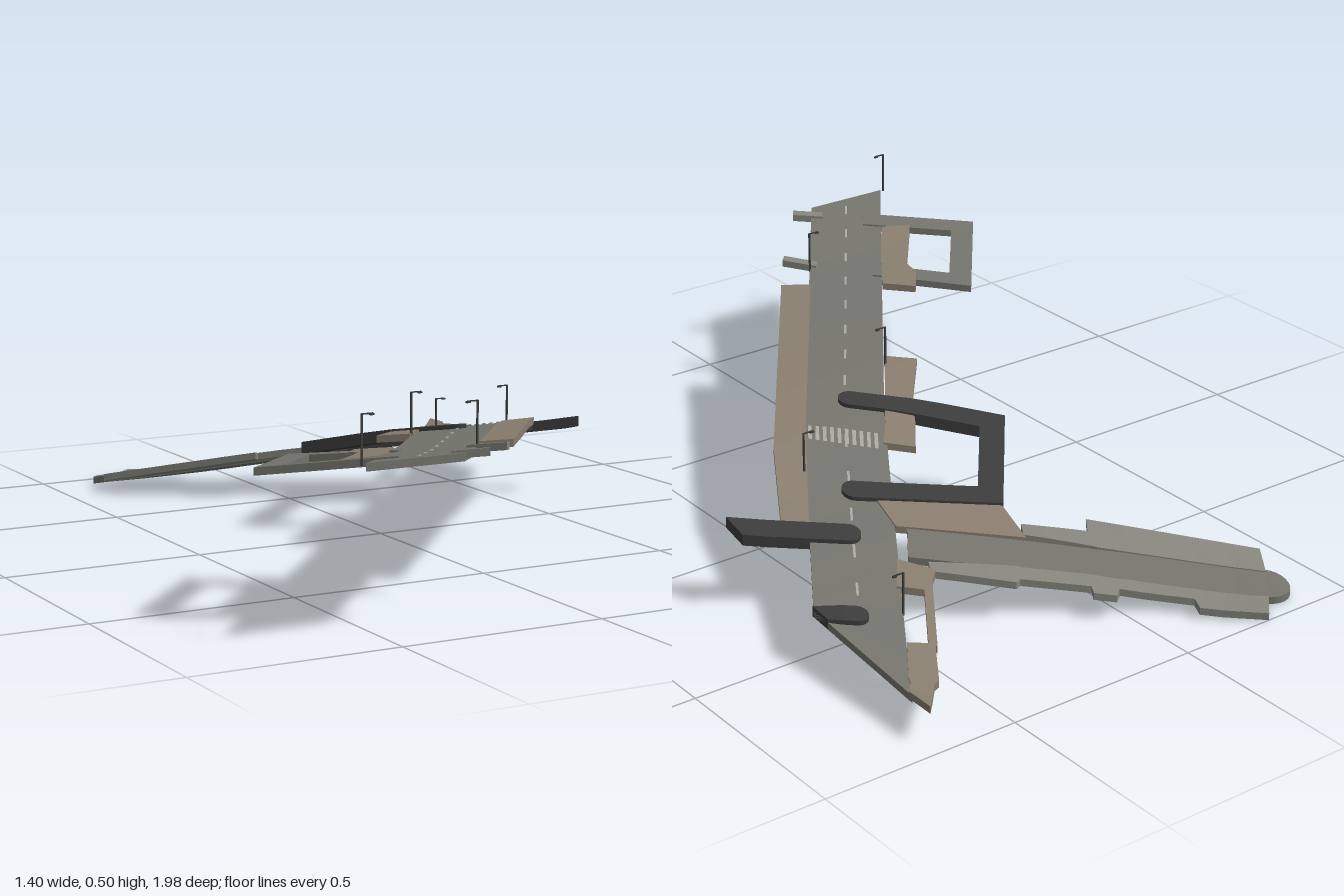
import * as THREE from 'three';

const ROAD = 0x74746d, PAVING = 0x85857d, BROWN = 0x887d6e, DARK = 0x3c3c3c, PAINT = 0xa8a8a0;

// Terrain height: falls towards the back, twisting up a little at the far right
const KNOTS = [[-1, 0.015], [-0.92, 0.022], [-0.8, 0.05], [-0.55, 0.12], [-0.4, 0.155], [-0.2, 0.198],
  [0, 0.255], [0.2, 0.287], [0.4, 0.31], [0.7, 0.35], [1, 0.402]];
function ground(x, z) {
  let i = 0;
  while (i < KNOTS.length - 2 && z > KNOTS[i + 1][0]) i++;
  const [z0, y0] = KNOTS[i], [z1, y1] = KNOTS[i + 1];
  return y0 + (y1 - y0) * (z - z0) / (z1 - z0) + 0.5 * Math.max(0, x - 0.4) * Math.max(0, -0.5 - z);
}

// Slab draped on the terrain; each station is [leftX, leftZ, rightX, rightZ]
function slab(name, color, stations, lift = 0, thick = 0.018) {
  const rows = [stations[0]];
  for (let i = 1; i < stations.length; i++) {
    const a = stations[i - 1], b = stations[i];
    const n = Math.max(1, Math.ceil(Math.hypot(b[0] - a[0], b[1] - a[1]) / 0.08));
    for (let k = 1; k <= n; k++) rows.push(a.map((v, j) => v + (b[j] - v) * k / n));
  }
  const pos = [];
  const corners = ([lx, lz, rx, rz]) => {
    const l = ground(lx, lz) + lift, r = ground(rx, rz) + lift;
    return [[lx, l, lz], [rx, r, rz], [rx, r - thick, rz], [lx, l - thick, lz]];
  };
  const quad = (a, b, c, d) => pos.push(...a, ...b, ...c, ...a, ...c, ...d);
  const rings = rows.map(corners);
  for (let i = 1; i < rings.length; i++) {
    for (let k = 0; k < 4; k++) {
      const m = (k + 1) % 4;
      quad(rings[i - 1][k], rings[i - 1][m], rings[i][m], rings[i][k]);
    }
  }
  const s = rings[0], e = rings[rings.length - 1];
  quad(s[3], s[2], s[1], s[0]);
  quad(e[0], e[1], e[2], e[3]);
  const geo = new THREE.BufferGeometry();
  geo.setAttribute('position', new THREE.Float32BufferAttribute(pos, 3));
  geo.computeVertexNormals();
  const mesh = new THREE.Mesh(geo, new THREE.MeshStandardMaterial({ color, flatShading: true, side: THREE.DoubleSide }));
  mesh.name = name;
  return mesh;
}

// Stations of a constant-width path with mitred corners and optional round ends
function path(points, width, capStart = false, capEnd = false) {
  const p = points.map(([x, z]) => new THREE.Vector2(x, z));
  const r = width / 2, out = [];
  const dir = (i) => p[i + 1].clone().sub(p[i]).normalize();
  const add = (c, side, w) => out.push([c.x + side.x * w, c.y + side.y * w, c.x - side.x * w, c.y - side.y * w]);
  const left = (d) => new THREE.Vector2(d.y, -d.x);
  const cap = (c, d, sign) => {
    for (let k = 0; k < 6; k++) {
      const t = (sign < 0 ? k : 6 - k - 1) / 6 * Math.PI / 2;
      add(c.clone().addScaledVector(d, sign * r * Math.cos(t)), left(d), r * Math.sin(t));
    }
  };
  const last = p.length - 1;
  if (capStart) cap(p[0], dir(0), -1);
  for (let i = 0; i <= last; i++) {
    const a = left(dir(Math.max(0, i - 1))), b = left(dir(Math.min(i, last - 1)));
    const m = a.clone().add(b).normalize();
    add(p[i], m, r / m.dot(a));
  }
  if (capEnd) cap(p[last], dir(last - 1), 1);
  return out;
}

// Street lamp with an arm reaching over the road
function lamp(x, z, side) {
  const g = new THREE.Group();
  g.name = 'streetLamp';
  const mat = new THREE.MeshStandardMaterial({ color: DARK });
  const part = (name, w, h, d, px, py) => {
    const m = new THREE.Mesh(new THREE.BoxGeometry(w, h, d), mat);
    m.name = name;
    m.position.set(px, py, 0);
    g.add(m);
  };
  part('lampPole', 0.004, 0.11, 0.004, 0, 0.05);
  part('lampArm', 0.028, 0.003, 0.003, side * 0.013, 0.104);
  part('lampHead', 0.01, 0.004, 0.006, side * 0.024, 0.102);
  g.position.set(x, ground(x, z), z);
  return g;
}

export function createModel() {
  const model = new THREE.Group();
  model.name = 'roadNetwork';
  const put = (...args) => model.add(slab(...args));

  // Main road, cut off square at both ends
  put('mainRoad', ROAD, [[-0.577, 0.98, -0.339, 0.98], [0.11, 0.016, 0.35, 0.016],
    [0.455, -0.52, 0.695, -0.52], [0.695, -0.89, 0.695, -0.52]]);

  // Side road with a rounded dead end
  put('sideRoad', ROAD, path([[-0.335, -0.905], [0.36, -0.42]], 0.105, true), 0.002);

  // Pavements along the main road
  put('rightPavement', BROWN, [[-0.09, 0.625, -0.02, 0.66], [0.345, 0.016, 0.45, 0], [0.56, -0.31, 0.615, -0.28]], 0.005);
  put('leftMiddlePavement', BROWN, [[-0.105, 0.17, -0.04, 0.22], [0.05, -0.015, 0.12, 0.0],
    [0.06, -0.045, 0.14, -0.03], [0.125, -0.135, 0.19, -0.09]], 0.005);
  put('leftFrontPavement', BROWN, [[-0.53, 0.775, -0.45, 0.8], [-0.39, 0.6, -0.34, 0.65],
    [-0.385, 0.55, -0.32, 0.62], [-0.335, 0.485, -0.265, 0.54]], 0.005);
  put('leftBackPavement', BROWN, [[0.52, -0.74, 0.58, -0.715], [0.60, -0.86, 0.66, -0.83],
    [0.62, -0.87, 0.67, -0.85], [0.695, -0.955, 0.695, -0.88]], 0.005);
  put('cornerPavement', BROWN, [[0.36, -0.53, 0.42, -0.46], [0.42, -0.58, 0.48, -0.54]], 0.005);
  put('narrowWalk', BROWN, path([[0.395, -0.545], [0.53, -0.745]], 0.02), 0.005);

  // Pavements along the side road
  put('sideFrontPavement', PAVING, [[-0.36, -0.87, -0.405, -0.80], [-0.04, -0.63, -0.08, -0.54],
    [-0.03, -0.62, -0.055, -0.575], [0.095, -0.52, 0.075, -0.485]], 0.005);
  put('sideCornerPavement', BROWN, [[0.095, -0.53, 0.07, -0.4], [0.35, -0.36, 0.33, -0.25]], 0.004);
  put('sideBackPavement', PAVING, [[-0.25, -1, -0.3, -0.945], [-0.125, -0.9, -0.18, -0.86],
    [-0.135, -0.87, -0.17, -0.85], [0.005, -0.765, -0.03, -0.745], [0.025, -0.78, -0.02, -0.74],
    [0.07, -0.75, 0.02, -0.71], [0.06, -0.73, 0.03, -0.7], [0.2, -0.64, 0.17, -0.61],
    [0.215, -0.645, 0.18, -0.6], [0.375, -0.53, 0.36, -0.5]], 0.005);

  // Loop lane and short footpaths at the front end
  put('greyLoopLane', ROAD, path([[-0.29, 0.615], [-0.466, 0.46], [-0.66, 0.705], [-0.43, 0.86]], 0.06), 0.004);
  put('footpath', PAVING, path([[-0.17, 0.69], [-0.105, 0.775]].map(([x, z], i) => i ? [x, z] : [x, z + 0.02]), 0.025), 0.006);
  put('footpath', PAVING, path([[-0.34, 0.925], [-0.27, 0.97]], 0.025), 0.006);

  // Dark lanes with rounded ends lying over the main road
  put('darkLoopLane', DARK, path([[0.36, -0.208], [0.077, -0.37], [-0.11, -0.137], [0.16, 0.09]], 0.062, true, true), 0.01, 0.03);
  put('darkLane', DARK, [...path([[0.47, -0.335], [0.63, -0.24]], 0.062, true), [0.695, -0.235, 0.695, -0.165]], 0.01, 0.028);
  put('darkStub', DARK, [...path([[0.625, -0.585], [0.65, -0.57]], 0.058, true), [0.695, -0.575, 0.695, -0.515]], 0.008, 0.026);

  // Dashed centre line
  const centre = [[-0.458, 0.98], [0.23, 0.016], [0.6, -0.56]].map(([x, z]) => new THREE.Vector2(x, z));
  for (let s = 0; s < 2; s++) {
    const n = s ? 5 : 9;
    for (let k = 0; k < n; k++) {
      if (!s && k === n - 1) continue;
      const a = centre[s].clone().lerp(centre[s + 1], (k + 0.35) / n);
      const b = centre[s].clone().lerp(centre[s + 1], (k + 0.7) / n);
      put('laneDash', PAINT, path([a.toArray(), b.toArray()], 0.006), 0.003, 0.002);
    }
  }

  // Zebra crossing
  for (let k = 0; k < 10; k++) {
    const x = 0.2 + k * 0.0145, z = -0.075 + k * 0.0105;
    put('crossingStripe', PAINT, path([[x - 0.016, z + 0.024], [x + 0.016, z - 0.024]], 0.009), 0.003, 0.002);
  }

  // Street lamps on alternating sides
  for (const [x, z, side] of [[-0.587, 0.98, 1], [-0.14, 0.7, -1], [-0.02, 0.19, 1], [0.43, -0.1, -1], [0.52, -0.62, 1]]) {
    model.add(lamp(x, z, side));
  }
  return model;
}
